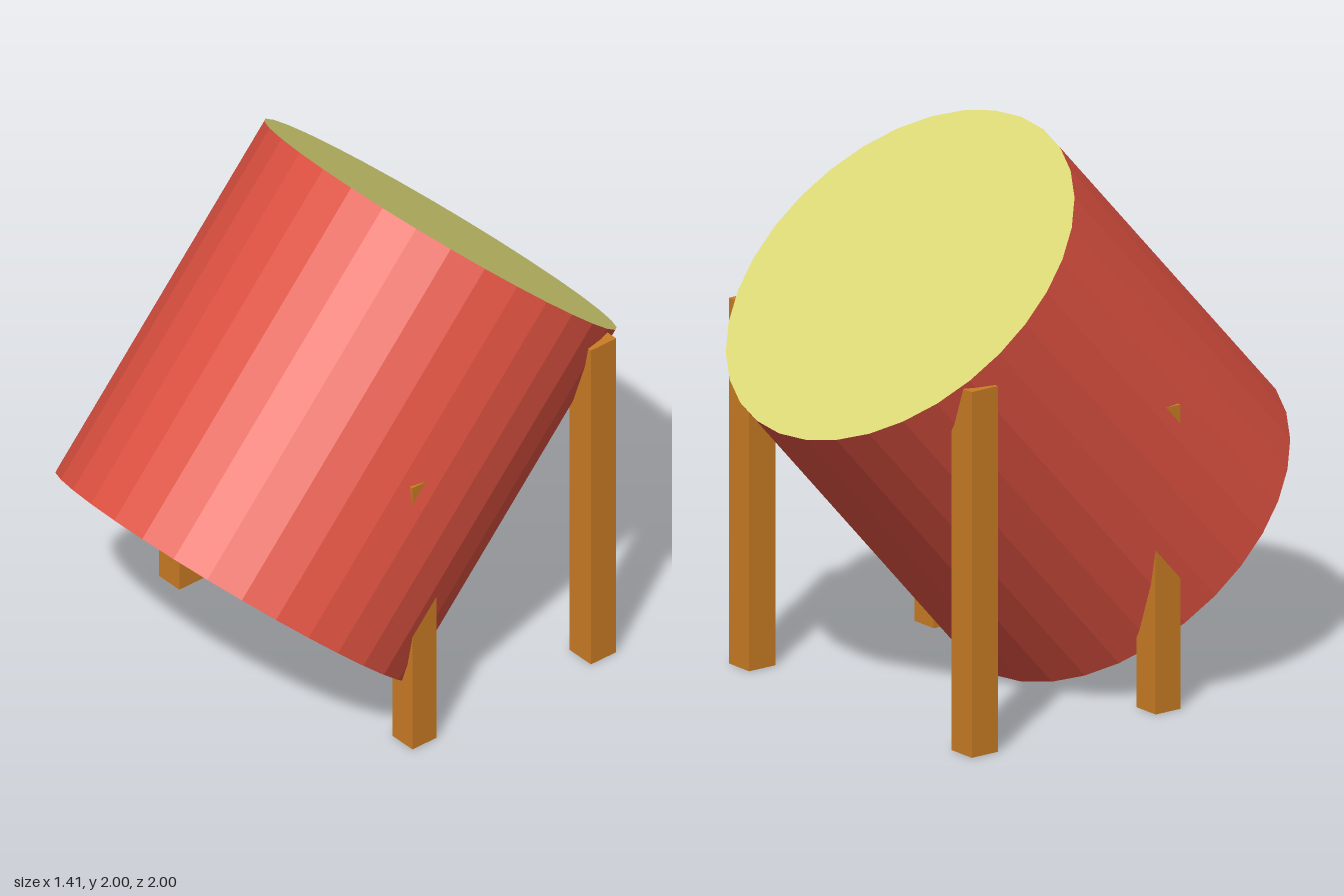
import * as THREE from 'three';

export function createModel() {
  const red = new THREE.MeshStandardMaterial({ color: 0xde5141, flatShading: true });
  red.name = 'red shell';
  const yellow = new THREE.MeshStandardMaterial({ color: 0xdcd977, flatShading: true });
  yellow.name = 'pale yellow ends';
  const wood = new THREE.MeshStandardMaterial({ color: 0xca7c24, flatShading: true });
  wood.name = 'orange wood';

  const model = new THREE.Group();
  model.name = 'tiltedDrumOnStand';

  // Drum, leaning back
  const drum = new THREE.Mesh(
    new THREE.CylinderGeometry(0.707, 0.707, 1.413, 32), [red, yellow, yellow]);
  drum.name = 'drum';
  drum.position.y = 1.005;
  drum.rotation.x = -Math.atan2(0.94, 1.055);
  model.add(drum);

  // Square legs, a short pair in front and a tall pair behind
  function addLeg(name, x, z, width, height) {
    const leg = new THREE.Mesh(new THREE.BoxGeometry(width, height, width), wood);
    leg.name = name;
    leg.position.set(x, height / 2, z);
    model.add(leg);
  }
  for (const [label, side] of [['Left', 1], ['Right', -1]]) {
    addLeg('front' + label + 'Leg', side * 0.625, 0.172, 0.108, 1.1);
    addLeg('back' + label + 'Leg', side * 0.627, -0.63, 0.114, 1.322);
  }
  return model;
}
